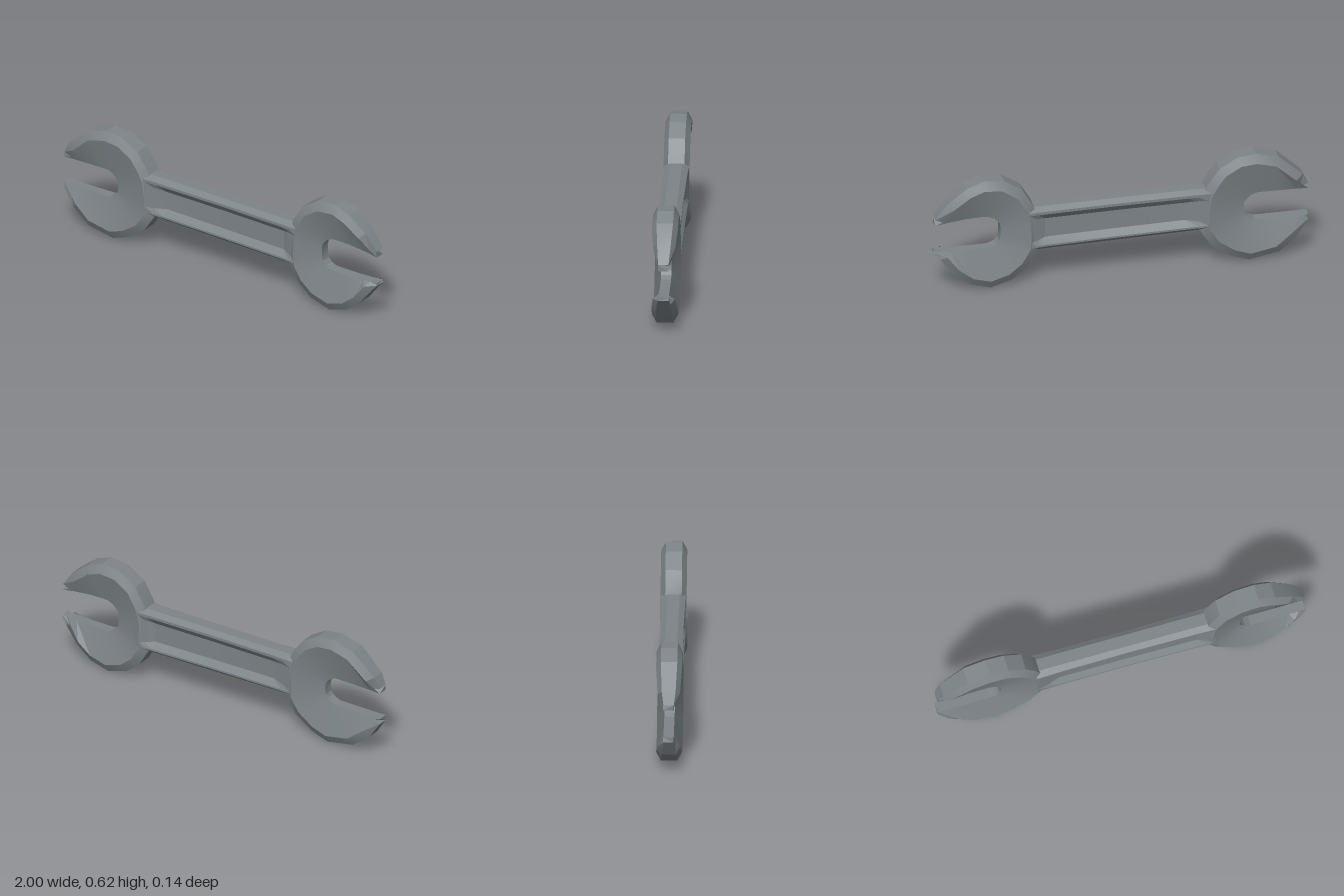
import * as THREE from 'three';
import { toCreasedNormals } from 'three/addons/utils/BufferGeometryUtils.js';

const steel = new THREE.MeshStandardMaterial({ color: 0x7d8488 });
steel.name = 'steel grey';

// Closed skin through a list of equal-length rings of [x, y, z] points
function loft(rings, name) {
  const n = rings[0].length, last = (rings.length - 1) * n, index = [];
  for (let i = 0; i < rings.length - 1; i++) {
    for (let j = 0; j < n; j++) {
      const a = i * n + j, b = i * n + (j + 1) % n;
      index.push(a, a + n, b, b, a + n, b + n);
    }
  }
  for (let j = 1; j < n - 1; j++) {
    index.push(0, j, j + 1, last, last + j + 1, last + j);
  }
  const geometry = new THREE.BufferGeometry();
  geometry.setAttribute('position', new THREE.Float32BufferAttribute(rings.flat(2), 3));
  geometry.setIndex(index);
  const mesh = new THREE.Mesh(toCreasedNormals(geometry, 0.3), steel);
  mesh.name = name;
  return mesh;
}

// Open-ended jaw: outer rim point, inner slot point per station, thin at both tips
function head(stations, cx, cy, name) {
  const rings = stations.map(([px, py, sx, sy], i) => {
    const step = Math.min(i, stations.length - 1 - i, 2);
    const rim = [0.027, 0.036, 0.043][step];
    const face = [0.031, 0.058, 0.068][step];
    const qx = px + (cx - px) * 0.15, qy = py + (cy - py) * 0.15;
    return [
      [px, py, rim], [qx, qy, face], [sx, sy, 0.027],
      [sx, sy, -0.027], [qx, qy, -face], [px, py, -rim],
    ];
  });
  return loft(rings, name);
}

// Bar section: front runs upward, back runs downward, with a recessed panel
function barRing([x, bottom, top, rim, floor, inset]) {
  const front = [
    [x, bottom, 0.032], [x, bottom + 0.025, rim], [x, bottom + 0.035, rim],
    [x, bottom + inset, floor], [x, top - inset, floor],
    [x, top - 0.035, rim], [x, top - 0.02, rim], [x, top, 0.032],
  ];
  const back = front.map(([px, py, pz]) => [px, py, -pz]).reverse();
  return [...front, ...back];
}

export function createModel() {
  const model = new THREE.Group();
  model.name = 'wrench';

  // Right jaw, upper tip round to lower tip
  model.add(head([
    [0.995, 0.42, 0.995, 0.385],
    [0.93, 0.51, 0.92, 0.398],
    [0.83, 0.59, 0.82, 0.408],
    [0.74, 0.625, 0.74, 0.41],
    [0.63, 0.615, 0.71, 0.408],
    [0.53, 0.55, 0.675, 0.39],
    [0.47, 0.45, 0.652, 0.365],
    [0.45, 0.375, 0.645, 0.34],
    [0.445, 0.26, 0.645, 0.285],
    [0.45, 0.19, 0.652, 0.262],
    [0.505, 0.10, 0.67, 0.242],
    [0.585, 0.035, 0.70, 0.228],
    [0.70, 0, 0.73, 0.226],
    [0.81, 0.03, 0.81, 0.226],
    [0.90, 0.10, 0.91, 0.228],
    [0.97, 0.19, 0.97, 0.232],
    [1.0, 0.222, 1.0, 0.236],
  ], 0.73, 0.31, 'rightJaw'));

  // Left jaw, lower tip round to upper tip
  model.add(head([
    [-1.0, 0.2, -1.0, 0.23],
    [-0.94, 0.11, -0.93, 0.229],
    [-0.84, 0.035, -0.82, 0.229],
    [-0.68, 0.005, -0.715, 0.23],
    [-0.58, 0.04, -0.69, 0.24],
    [-0.48, 0.11, -0.67, 0.255],
    [-0.42, 0.2, -0.66, 0.272],
    [-0.42, 0.31, -0.655, 0.305],
    [-0.435, 0.42, -0.658, 0.335],
    [-0.475, 0.49, -0.67, 0.352],
    [-0.525, 0.555, -0.69, 0.372],
    [-0.62, 0.61, -0.72, 0.385],
    [-0.72, 0.62, -0.75, 0.386],
    [-0.84, 0.588, -0.83, 0.385],
    [-0.97, 0.47, -0.94, 0.383],
    [-1.0, 0.41, -1.0, 0.38],
  ], -0.71, 0.31, 'leftJaw'));

  // Handle with sunken panels front and back: x, bottom, top, rim z, floor z, floor inset
  model.add(loft([
    [-0.53, 0.21, 0.44, 0.05, 0.05, 0.07],
    [-0.46, 0.206, 0.444, 0.066, 0.066, 0.06],
    [-0.41, 0.205, 0.445, 0.065, 0.056, 0.06],
    [-0.34, 0.204, 0.445, 0.063, 0.037, 0.07],
    [0.04, 0.198, 0.443, 0.06, 0.035, 0.07],
    [0.41, 0.192, 0.44, 0.063, 0.037, 0.07],
    [0.46, 0.19, 0.44, 0.065, 0.056, 0.06],
    [0.50, 0.19, 0.44, 0.066, 0.066, 0.06],
    [0.56, 0.195, 0.435, 0.048, 0.048, 0.07],
  ].map(barRing), 'handle'));

  return model;
}
